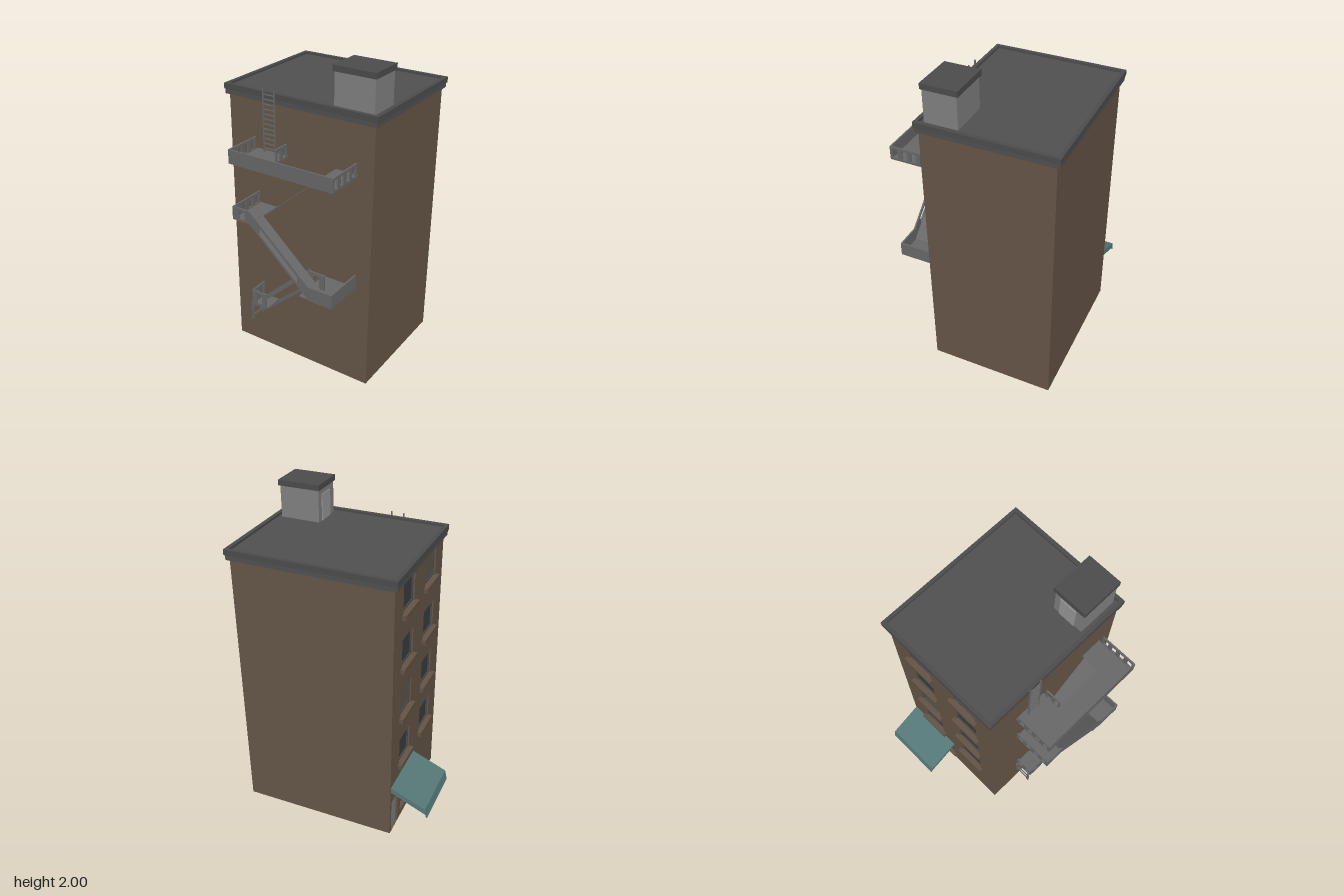
import * as THREE from 'three';

const mat = (color) => new THREE.MeshStandardMaterial({ color, flatShading: true, side: THREE.DoubleSide });
const brick = mat(0x655547), roofGrey = mat(0x505050), trim = mat(0x4c4c4c), iron = mat(0x686868);
const plaster = mat(0x808080), teal = mat(0x567878), glass = mat(0x3a3d3e), blind = mat(0x5c564c), sillMat = mat(0x635345);

export function createModel() {
  const root = new THREE.Group();

  const add = (name, geometry, material, parent = root) => {
    const m = new THREE.Mesh(geometry, material);
    m.name = name;
    parent.add(m);
    return m;
  };
  const group = (name) => {
    const g = new THREE.Group();
    g.name = name;
    root.add(g);
    return g;
  };
  // box from its two extreme corners
  const box = (name, x0, x1, y0, y1, z0, z1, material, parent) => {
    const g = new THREE.BoxGeometry(x1 - x0, y1 - y0, z1 - z0);
    g.translate((x0 + x1) / 2, (y0 + y1) / 2, (z0 + z1) / 2);
    return add(name, g, material, parent);
  };
  const rect = (a0, a1, b0, b1) => [[a0, b0], [a1, b0], [a1, b1], [a0, b1]];
  const vecs = (pts) => pts.map(([a, b]) => new THREE.Vector2(a, b));
  const plate = (outline, holes, depth) => {
    const s = new THREE.Shape(vecs(outline));
    holes.forEach((h) => s.holes.push(new THREE.Path(vecs(h))));
    return new THREE.ExtrudeGeometry(s, { depth, bevelEnabled: false });
  };
  // plate facing z, drawn in (x, y); plate facing x, drawn in (z, y)
  const plateZ = (name, outline, holes, z, depth, material, parent) =>
    add(name, plate(outline, holes, depth).translate(0, 0, z), material, parent);
  const plateX = (name, outline, holes, x, depth, material, parent) =>
    add(name, plate(outline, holes, depth).rotateY(-Math.PI / 2).translate(x + depth, 0, 0), material, parent);

  // Walls: solid core and a street facade with openings
  box('walls', -0.37, 0.6, 0, 1.72, -0.52, 0.28, brick);
  const columns = [[-0.385, -0.21], [-0.03, 0.15]];
  const windows = group('windows');
  const openings = [];
  for (let row = 0; row < 4; row++) {
    const y = 0.465 + row * 0.3485;
    columns.forEach(([z0, z1], c) => {
      openings.push(rect(z0, z1, y, y + 0.18));
      const lit = (row === 1 && c === 0) || (row === 3 && c === 1);
      box('windowPane', -0.374, -0.368, y, y + 0.18, z0, z1, lit ? blind : glass, windows);
      plateX('windowFrame', rect(z0, z1, y, y + 0.18), [rect(z0 + 0.012, z1 - 0.012, y + 0.012, y + 0.168)],
        -0.38, 0.008, trim, windows);
      box('windowSill', -0.415, -0.37, y - 0.032, y, z0 - 0.018, z1 + 0.018, sillMat, windows);
    });
  }

  // Entrance and ground floor window under the awning
  const entrance = group('entrance');
  openings.push(rect(-0.5, -0.39, 0.005, 0.24), rect(-0.34, -0.14, 0.08, 0.24));
  box('door', -0.376, -0.368, 0.005, 0.24, -0.5, -0.39, plaster, entrance);
  box('shopPane', -0.376, -0.368, 0.08, 0.24, -0.34, -0.14, glass, entrance);
  box('shopSill', -0.405, -0.37, 0.06, 0.08, -0.355, -0.125, sillMat, entrance);
  plateX('facade', rect(-0.52, 0.28, 0, 1.72), openings, -0.39, 0.02, brick);

  // Awning slab with hanging front flap
  plateZ('awning', [[-0.39, 0.37], [-0.612, 0.278], [-0.622, 0.235], [-0.39, 0.335]], [], -0.515, 0.393, teal);
  plateZ('awningFlap', [[-0.61, 0.278], [-0.627, 0.215], [-0.622, 0.215], [-0.604, 0.278]], [], -0.515, 0.393, teal);

  // Flat roof with a raised rim
  const roof = group('roof');
  box('roofSlab', -0.41, 0.615, 1.715, 1.765, -0.54, 0.295, roofGrey, roof);
  const rim = plate(rect(-0.415, 0.622, -0.3, 0.545), [rect(-0.392, 0.597, -0.277, 0.523)], 0.035);
  add('roofRim', rim.rotateX(-Math.PI / 2).translate(0, 1.745, 0), trim, roof);

  // Roof access hut
  const hut = group('roofHut');
  box('hutWalls', 0.322, 0.575, 1.76, 1.97, 0.05, 0.255, plaster, hut);
  box('hutDoor', 0.317, 0.324, 1.765, 1.93, 0.09, 0.2, mat(0x999999), hut);
  box('hutCap', 0.312, 0.583, 1.965, 2, 0.04, 0.263, trim, hut);

  // Fire escape
  const escape = group('fireEscape');
  const T = 0.01;
  // end railing across x with evenly spaced gaps
  const endRail = (x, z0, z1, y0, y1, gaps) => {
    const step = (z1 - z0) / gaps;
    const holes = Array.from({ length: gaps }, (_, i) =>
      rect(z0 + step * (i + 0.25), z0 + step * (i + 0.8), y0 + 0.015, y1 - 0.015));
    plateX('endRailing', rect(z0, z1, y0, y1), holes, x, T, iron, escape);
  };
  const floor = (x0, x1, y, z0, z1) => box('landingFloor', x0, x1, y, y + 0.008, z0, z1, iron, escape);
  // sloping band in (x, y) of a given height
  const slope = (x0, y0, x1, y1, h) => [[x0, y0], [x1, y1], [x1, y1 + h], [x0, y0 + h]];
  const ramp = (x0, y0, x1, y1, z0, z1) =>
    plateZ('stairFlight', slope(x0, y0, x1, y1, 0.006), [], z0, z1 - z0, iron, escape);

  // top landing, open above the stair
  floor(-0.195, 0.5, 1.405, 0.405, 0.54);
  floor(-0.195, 0.03, 1.405, 0.28, 0.405);
  floor(0.355, 0.5, 1.405, 0.28, 0.405);
  box('frontRailing', -0.2, 0.505, 1.405, 1.492, 0.535, 0.545, iron, escape);
  endRail(-0.2, 0.3, 0.54, 1.405, 1.492, 4);
  endRail(0.495, 0.3, 0.54, 1.405, 1.492, 4);
  endRail(0.025, 0.3, 0.405, 1.405, 1.495, 2);
  ramp(-0.06, 1.05, 0.355, 1.405, 0.295, 0.405);

  // second landing and its outer stair railing
  floor(-0.19, -0.06, 1.05, 0.285, 0.54);
  plateZ('frontRailing', rect(-0.19, -0.065, 1.05, 1.135), [rect(-0.145, -0.1, 1.065, 1.12)], 0.535, T, iron, escape);
  endRail(-0.19, 0.29, 0.54, 1.05, 1.135, 4);
  ramp(-0.06, 1.05, 0.35, 0.68, 0.42, 0.54);
  plateZ('stairRailing', slope(-0.065, 1.05, 0.35, 0.675, 0.085),
    [slope(0, 1.01, 0.27, 0.766, 0.043)], 0.535, T, iron, escape);

  // third landing
  floor(0.28, 0.5, 0.675, 0.28, 0.54);
  box('frontRailing', 0.345, 0.505, 0.675, 0.765, 0.535, 0.545, iron, escape);
  box('endPanel', 0.495, 0.505, 0.675, 0.765, 0.28, 0.54, iron, escape);
  plateZ('innerRailing', rect(0.27, 0.375, 0.675, 0.785), [rect(0.298, 0.34, 0.695, 0.765)], 0.41, T, iron, escape);
  ramp(-0.06, 0.382, 0.28, 0.68, 0.29, 0.415);
  plateZ('stairRailing', slope(-0.065, 0.45, 0.275, 0.77, 0.036), [], 0.405, T, iron, escape);

  // lowest landing
  floor(-0.17, -0.06, 0.38, 0.285, 0.41);
  plateZ('frontRailing', rect(-0.17, -0.065, 0.38, 0.487), [rect(-0.137, -0.095, 0.402, 0.475)], 0.405, T, iron, escape);
  endRail(-0.175, 0.29, 0.41, 0.38, 0.487, 2);

  // drop ladder
  const drop = group('dropLadder');
  for (const z of [0.29, 0.393]) box('ladderRail', -0.185, -0.175, 0.255, 0.39, z, z + 0.015, iron, drop);
  for (const y of [0.275, 0.34]) box('ladderRung', -0.183, -0.177, y, y + 0.014, 0.3, 0.4, iron, drop);

  // roof ladder
  const ladder = group('roofLadder');
  for (const x of [-0.127, -0.047]) box('ladderRail', x, x + 0.007, 1.41, 1.8, 0.304, 0.312, iron, ladder);
  for (let i = 0; i < 12; i++) {
    const y = 1.435 + i * 0.03;
    if (y < 1.78) box('ladderRung', -0.122, -0.045, y, y + 0.007, 0.305, 0.311, iron, ladder);
  }

  return root;
}
